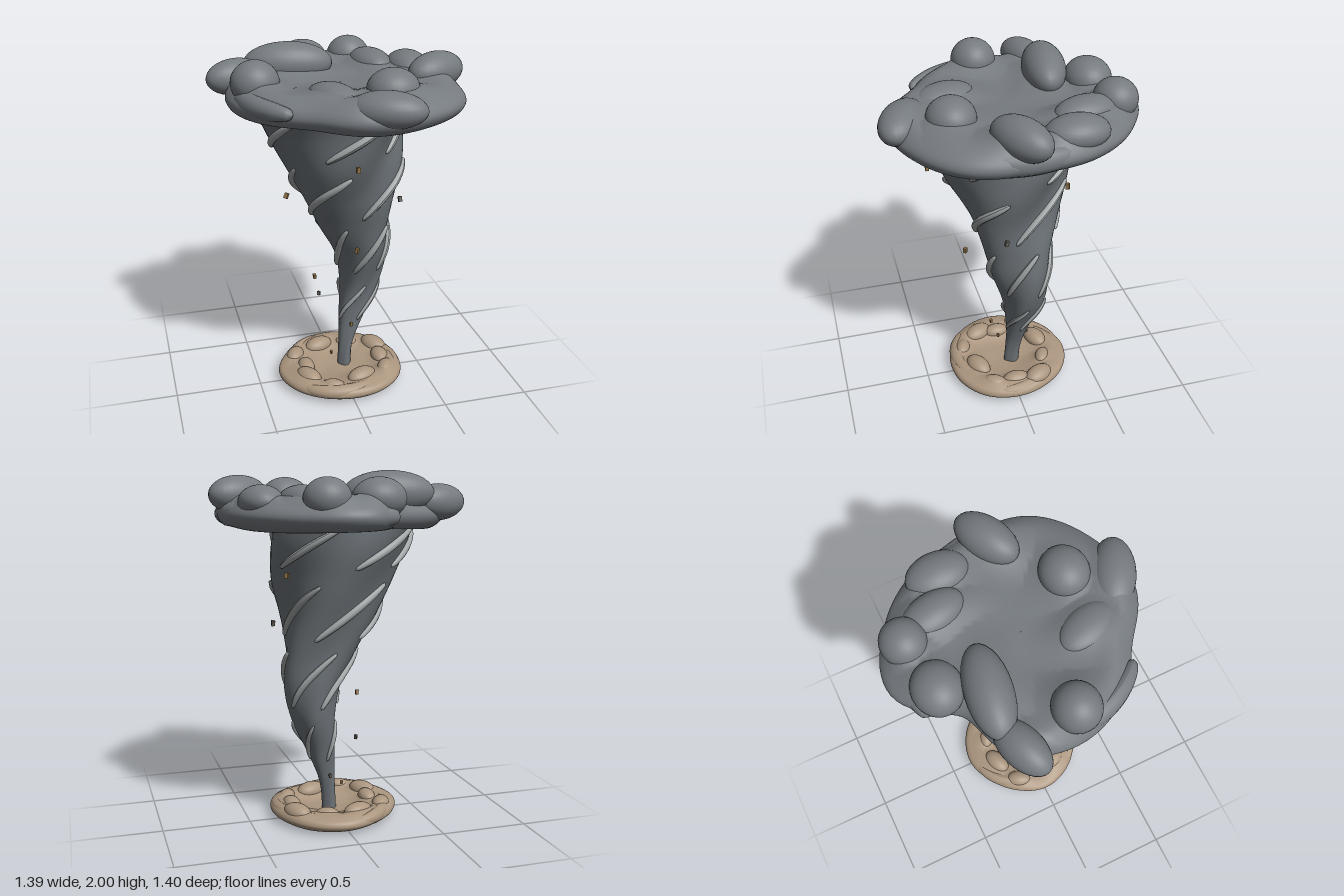
import * as THREE from 'three';
import { ParametricGeometry } from 'three/addons/geometries/ParametricGeometry.js';

const mat = (name, color) => {
  const m = new THREE.MeshStandardMaterial({ color });
  m.name = name;
  return m;
};
const RAD = Math.PI / 180;

// Funnel sections every 0.2 in height: [centre, radius] along x and along z
const sectionX = new THREE.SplineCurve([
  [0.03, 0.04], [0.045, 0.045], [0.085, 0.08], [0.135, 0.115], [0.14, 0.155],
  [0.085, 0.21], [0.03, 0.265], [0, 0.325], [-0.03, 0.38], [-0.07, 0.43],
].map(p => new THREE.Vector2(...p)));
const sectionZ = new THREE.SplineCurve([
  [-0.03, 0.045], [-0.04, 0.05], [-0.055, 0.075], [-0.075, 0.12], [-0.06, 0.16],
  [-0.04, 0.2], [-0.02, 0.265], [-0.01, 0.33], [-0.02, 0.38], [0, 0.42],
].map(p => new THREE.Vector2(...p)));

// Point on the twisted, lobed funnel wall
function funnelPoint(a, y, lift, target) {
  const t = Math.min(1, Math.max(0, y / 1.8));
  const sx = sectionX.getPoint(t), sz = sectionZ.getPoint(t);
  const lobes = 1 + 0.055 * Math.cos(4 * (a + 2.1 * y)) + 0.035 * Math.cos(3 * (a + 2.8 * y) + 1);
  return target.set(
    sx.x + (sx.y * lobes + lift) * Math.cos(a), y,
    sz.x + (sz.y * lobes + lift) * Math.sin(a));
}

// Tube that closes in blunt rounded ends
function taperedTube(points, radius, seg = 36, sides = 10) {
  const curve = new THREE.CatmullRomCurve3(points);
  const geo = new THREE.TubeGeometry(curve, seg, radius, sides);
  const pos = geo.attributes.position, v = new THREE.Vector3();
  for (let i = 0; i < pos.count; i++) {
    const t = Math.floor(i / (sides + 1)) / seg;
    const c = curve.getPointAt(t);
    const k = Math.max(0.02, Math.pow(Math.max(0, Math.sin(Math.PI * t)), 0.3));
    v.fromBufferAttribute(pos, i).sub(c).multiplyScalar(k).add(c);
    pos.setXYZ(i, v.x, v.y, v.z);
  }
  geo.computeVertexNormals();
  return geo;
}

// Soft swelling of a disc's top around its puffs, at most `height`
function swelling(x, z, puffs, height) {
  let sum = 0;
  for (const [px, , pz, sx, , sz, turn = 0] of puffs) {
    const c = Math.cos(turn), s = Math.sin(turn), dx = x - px, dz = z - pz;
    const lx = (c * dx - s * dz) / sx, lz = (s * dx + c * dz) / sz;
    sum = Math.max(sum, Math.exp(-0.8 * (lx * lx + lz * lz)));
  }
  return height * sum;
}

// Swirling disc: a section profile swept round an outline of radii at even angles
function swirlDisc(profile, radii, ripple, puffs, swellHeight) {
  const section = new THREE.SplineCurve(profile.map(p => new THREE.Vector2(...p)));
  const n = radii.length;
  const outline = new THREE.SplineCurve(
    Array.from({ length: n + 3 }, (_, i) => new THREE.Vector2(0, radii[(i + n - 1) % n])));
  return new ParametricGeometry((u, v, target) => {
    const a = -2 * Math.PI * u;
    const p = section.getPoint(v);
    const r = Math.max(0, p.x) * outline.getPoint((1 + (1 - u) * n) / (n + 2)).y + 0.001;
    const x = r * Math.cos(a), z = r * Math.sin(a);
    const wave = ripple * Math.sin(3 * a + 8 * p.x) * p.x * p.x * (1 - p.x) * 4;
    const top = THREE.MathUtils.smoothstep(v, 0.5, 0.68);
    target.set(x, p.y + wave + top * swelling(x, z, puffs, swellHeight), z);
  }, 120, 56);
}

// Arc-shaped arm from one angle and radius to another
function arm(a0, a1, r0, r1, y, radius) {
  const pts = [];
  for (let i = 0; i <= 8; i++) {
    const t = i / 8, a = (a0 + (a1 - a0) * t) * RAD, r = r0 + (r1 - r0) * t;
    pts.push(new THREE.Vector3(r * Math.cos(a), y, r * Math.sin(a)));
  }
  return taperedTube(pts, radius, 40, 14);
}

export function createModel() {
  const model = new THREE.Group();
  const funnelGrey = mat('funnel grey', 0x6d7378);
  const cloudGrey = mat('cloud grey', 0x767b80);
  const wispGrey = mat('pale wisp grey', 0xa3a8a8);
  const dustTan = mat('dust tan', 0xab967f);
  const debrisBrown = mat('debris brown', 0x8f7148);
  const debrisGrey = mat('debris grey', 0x66605a);
  funnelGrey.side = THREE.DoubleSide;

  const group = name => {
    const g = new THREE.Group();
    g.name = name;
    model.add(g);
    return g;
  };
  const add = (parent, name, geo, material) => {
    const m = new THREE.Mesh(geo, material);
    m.name = name;
    parent.add(m);
    return m;
  };
  const puff = (parent, name, material, [x, y, z, sx, sy, sz, turn = 0]) => {
    const m = add(parent, name, new THREE.SphereGeometry(1, 28, 18), material);
    m.position.set(x, y, z);
    m.scale.set(sx, sy, sz);
    m.rotation.y = turn;
  };

  // Funnel
  add(model, 'funnel', new ParametricGeometry(
    (u, v, target) => funnelPoint(-2 * Math.PI * u, 1.8 * v, 0, target), 64, 60), funnelGrey);

  // Wisps: tiers of [bottom, top, sweep, start angles, radius] wound up the funnel
  const wisps = group('wisps');
  const tiers = [
    [0.36, 0.6, 75, [160, 75, 0, -95], 0.013],
    [0.69, 1.01, 78, [190, 124, 58, -22, -95], 0.019],
    [1.08, 1.39, 74, [168, 86, 12, -62, -128], 0.022],
    [1.48, 1.7, 54, [185, 115, 52, -19, -90, -135], 0.022],
  ];
  for (const [y0, y1, sweep, starts, radius] of tiers) {
    for (const start of starts) {
      const pts = [];
      for (let i = 0; i <= 6; i++) {
        const t = i / 6;
        pts.push(funnelPoint((start - sweep * t) * RAD, y0 + (y1 - y0) * t, 0.006, new THREE.Vector3()));
      }
      add(wisps, 'wisp', taperedTube(pts, radius), wispGrey);
    }
  }

  // Storm cloud: disc, rim arms and puffs
  const cloud = group('stormCloud');
  const cloudPuffs = [
    [-0.475, 1.865, 0.06, 0.13, 0.12, 0.125],
    [0.19, 1.855, 0.33, 0.14, 0.11, 0.13],
    [0.19, 1.855, -0.54, 0.125, 0.11, 0.12],
    [-0.1, 1.855, -0.49, 0.145, 0.11, 0.13],
    [-0.23, 1.88, -0.28, 0.25, 0.12, 0.12, -0.15],
    [-0.53, 1.83, -0.25, 0.175, 0.1, 0.1, 0.35],
    [0.52, 1.87, 0.06, 0.19, 0.105, 0.11, 0.5],
    [0.27, 1.84, -0.35, 0.11, 0.085, 0.18, 0.2],
    [0.46, 1.835, -0.24, 0.12, 0.09, 0.17],
    [-0.12, 1.83, 0.3, 0.11, 0.07, 0.17, 0.35],
    [0.09, 1.815, 0.56, 0.2, 0.095, 0.115, -0.45],
  ];
  add(cloud, 'cloudDisc', swirlDisc(
    [[0.5, 1.79], [0.68, 1.74], [0.84, 1.69], [0.95, 1.71], [1, 1.76], [0.96, 1.81],
      [0.84, 1.845], [0.65, 1.84], [0.35, 1.825], [0, 1.825]],
    [0.63, 0.68, 0.66, 0.64, 0.55, 0.59, 0.62, 0.6, 0.5, 0.7, 0.68, 0.65],
    0.014, cloudPuffs, 0.055), cloudGrey);
  add(cloud, 'rimArm', arm(75, -40, 0.585, 0.56, 1.77, 0.075), cloudGrey);
  add(cloud, 'rimArm', arm(215, 129, 0.52, 0.565, 1.785, 0.06), cloudGrey);
  add(cloud, 'rimArm', arm(-20, -108, 0.54, 0.6, 1.765, 0.075), cloudGrey);
  cloudPuffs.forEach(p => puff(cloud, 'cloudPuff', cloudGrey, p));

  // Dust ring at the ground
  const dust = group('dustRing');
  const dustPuffs = [];
  for (let i = 0; i < 10; i++) {
    const a = (i * 36 + 8 * Math.sin(i * 5)) * RAD, r = 0.25 + 0.04 * Math.sin(i * 2.3);
    const s = 0.045 + 0.008 * Math.sin(i * 3.7);
    dustPuffs.push([r * Math.cos(a), 0.08, r * Math.sin(a), s * 1.8, s, s * 1.15, -a + Math.PI / 2]);
  }
  add(dust, 'dustDisc', swirlDisc(
    [[0, 0.035], [0.35, 0.03], [0.65, 0.015], [0.85, 0.008], [0.97, 0.03], [1, 0.055],
      [0.95, 0.08], [0.8, 0.09], [0.6, 0.075], [0.3, 0.055], [0, 0.05]],
    [0.365, 0.37, 0.36, 0.35, 0.355, 0.37, 0.38, 0.36, 0.355, 0.375, 0.37, 0.36],
    0.008, dustPuffs, 0.02), dustTan);
  [50, 170, 290].forEach(a =>
    add(dust, 'dustArm', arm(a, a + 95, 0.27, 0.34, 0.06, 0.042), dustTan));
  dustPuffs.forEach(p => puff(dust, 'dustPuff', dustTan, p));

  // Flying debris
  const debris = group('debris');
  [
    [-0.02, 1.47, 0.43], [-0.34, 1.255, 0.14], [0.33, 1.145, 0.08], [0.03, 0.93, 0.245],
    [-0.17, 0.71, 0.06], [-0.1, 0.495, -0.13], [0.04, 0.385, 0.1], [-0.065, 0.17, 0.03],
    [0.05, 0.27, -0.12], [0.33, 1.45, -0.25],
  ].forEach(([x, y, z], i) => {
    const s = 0.6 + 0.4 * Math.min(1, y);
    const m = add(debris, 'debrisChip', new THREE.BoxGeometry(0.019 * s, 0.031 * s, 0.02 * s),
      i % 3 === 2 ? debrisGrey : debrisBrown);
    m.position.set(x, y, z);
    m.rotation.set(0.3 * Math.sin(i * 2), i * 0.8, i === 1 ? -0.6 : 0.25 * Math.sin(i * 3));
  });

  return model;
}
